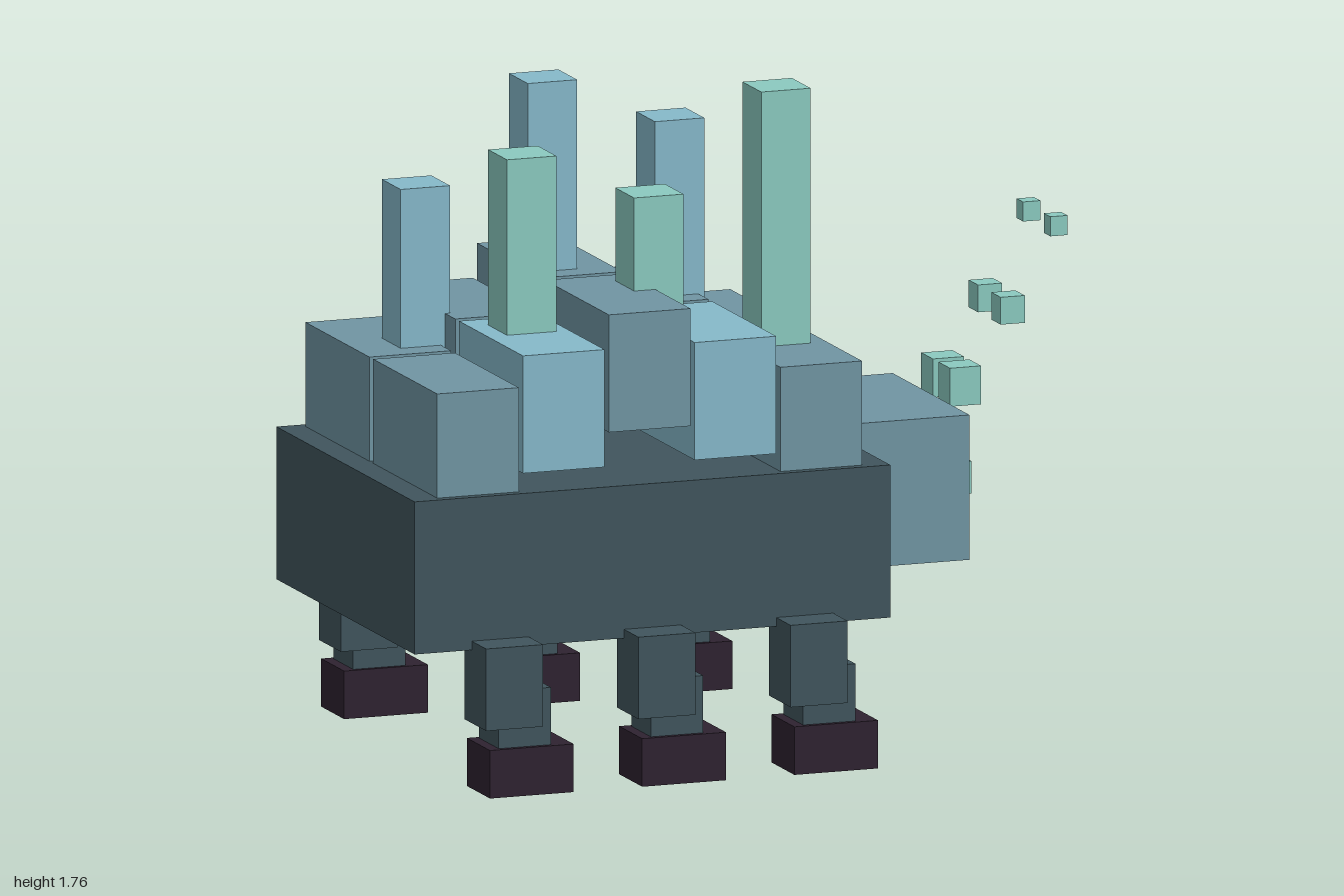
import * as THREE from 'three';

const mat = (name, color) => {
  const m = new THREE.MeshStandardMaterial({ color });
  m.name = name;
  return m;
};

export function createModel() {
  const model = new THREE.Group();
  model.name = 'crystalBackedCreature';

  const slate = mat('darkSlate', 0x40555d);
  const steel = mat('steelBlue', 0x7095a3);
  const sky = mat('skyBlue', 0x86b9ca);
  const mint = mat('mintGreen', 0x8bcac0);
  const plum = mat('darkPlum', 0x2e2230);

  // Box given by its extents on each axis
  const box = (name, material, [x0, x1], [y0, y1], [z0, z1], parent = model) => {
    const mesh = new THREE.Mesh(new THREE.BoxGeometry(x1 - x0, y1 - y0, z1 - z0), material);
    mesh.position.set((x0 + x1) / 2, (y0 + y1) / 2, (z0 + z1) / 2);
    mesh.name = name;
    parent.add(mesh);
  };
  // z extents mirrored to either side
  const side = (s, a, b) => (s > 0 ? [a, b] : [-b, -a]);

  // Body and head
  box('body', slate, [-1, 0.347], [0.38, 0.793], [-0.518, 0.518]);
  box('head', steel, [0.22, 0.658], [0.468, 0.86], [-0.288, 0.288]);

  // Back plates: two rows of five, arching up to the middle
  const plateTops = [1.075, 1.16, 1.253, 1.16, 1.075];
  for (const s of [1, -1]) {
    plateTops.forEach((top, i) => {
      const x = -0.927 + i * 0.243;
      const material = s > 0 && i % 2 === 1 ? sky : steel;
      box('backPlate', material, [x, x + 0.231], [top - 0.318, top], side(s, 0.014, 0.494));
    });
  }

  // Crystal columns: mint on the front row, blue on the back row
  const crystals = [
    [1, mint, [[-0.63, 1.635], [-0.27, 1.505], [0.09, 1.765]]],
    [-1, sky, [[-0.81, 1.505], [-0.45, 1.765], [-0.09, 1.635]]],
  ];
  for (const [s, material, list] of crystals) {
    for (const [x, top] of list) {
      box('crystal', material, [x, x + 0.14], [1.035, top], side(s, 0.09, 0.231));
    }
  }

  // Six legs, each with thigh, shin and foot
  for (const s of [1, -1]) {
    for (let i = 0; i < 3; i++) {
      const leg = new THREE.Group();
      leg.name = 'leg';
      leg.position.x = i * 0.431;
      box('thigh', slate, [-0.838, -0.677], [0.182, 0.404], side(s, 0.464, 0.626), leg);
      box('shin', slate, [-0.8, -0.652], [0.1, 0.285], side(s, 0.472, 0.619), leg);
      box('foot', plum, [-0.83, -0.593], [0, 0.13], side(s, 0.46, 0.633), leg);
      model.add(leg);
    }
  }

  // Eyes and the floating cubes rising from the head
  for (const s of [1, -1]) {
    box('eye', mint, [0.6, 0.688], [0.632, 0.72], side(s, 0.137, 0.223));
    box('floatingCube', mint, [0.671, 0.759], [0.846, 0.95], side(s, 0.02, 0.108));
    box('floatingCube', mint, [0.81, 0.878], [1.06, 1.134], side(s, 0.05, 0.12));
    box('floatingCube', mint, [0.948, 0.997], [1.29, 1.343], side(s, 0.078, 0.126));
  }

  return model;
}
